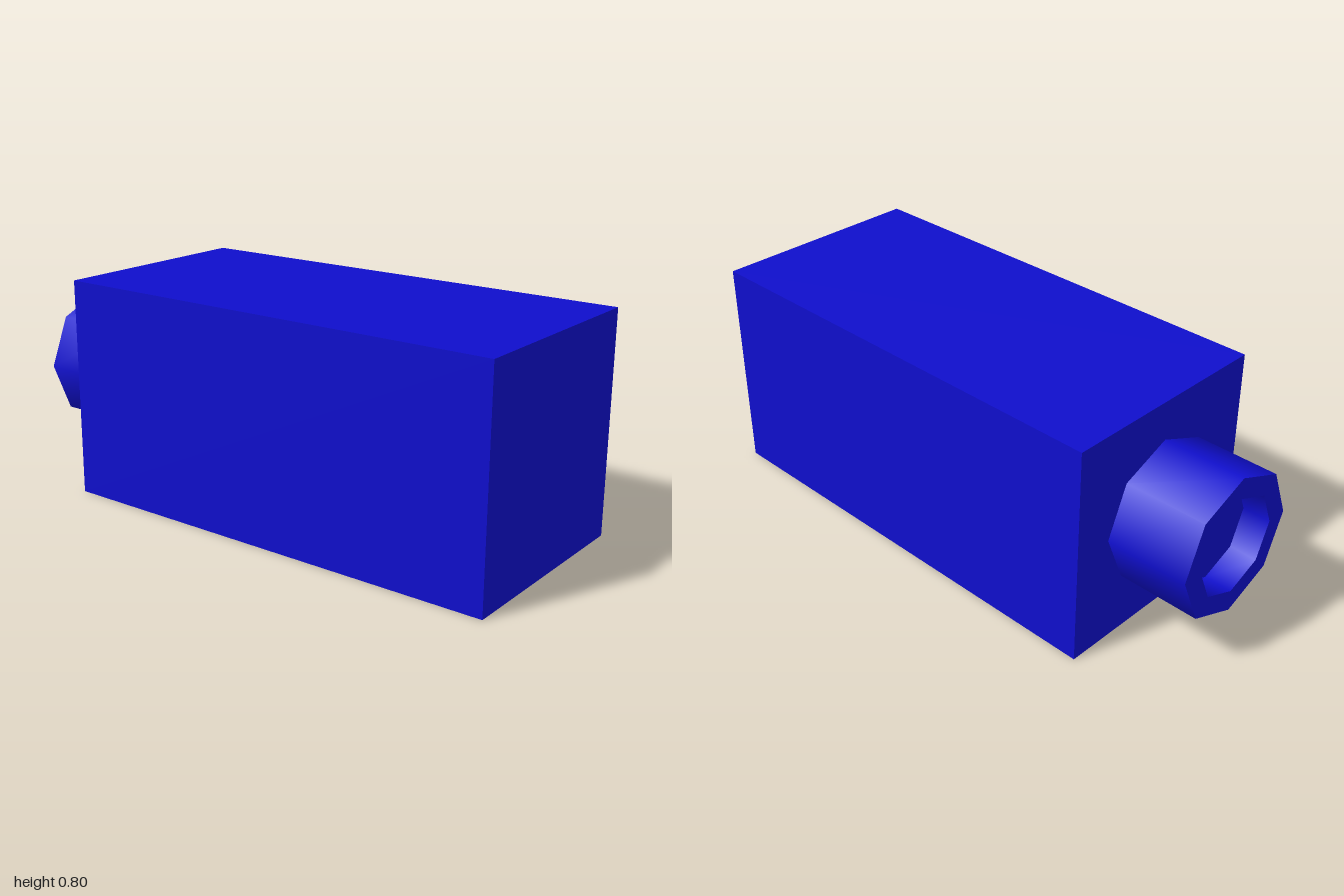
import * as THREE from 'three';
import { toCreasedNormals } from 'three/addons/utils/BufferGeometryUtils.js';

const SIDES = 8;
const blue = new THREE.MeshStandardMaterial({ color: 0x0f0ecc });
const red = new THREE.MeshStandardMaterial({ color: 0xcc1010 });

// Turned part whose axis points out of the lens end (-x); profile is [radius, height]
function turned(name, profile, material, x, y, z) {
  const points = profile.map(([r, h]) => new THREE.Vector2(r, h));
  const geometry = new THREE.LatheGeometry(points, SIDES).rotateZ(Math.PI / 2);
  const mesh = new THREE.Mesh(toCreasedNormals(geometry, Math.PI / 3), material);
  mesh.name = name;
  mesh.position.set(x, y, z);
  return mesh;
}

export function createModel() {
  const model = new THREE.Group();
  model.name = 'securityCamera';

  // Housing
  const body = new THREE.Mesh(new THREE.BoxGeometry(1.7, 0.8, 0.8), blue);
  body.name = 'body';
  body.position.set(0.15, 0.4, 0);
  model.add(body);

  // Lens barrel with a recessed front
  model.add(turned('lensBarrel',
    [[0.257, 0], [0.257, 0.3], [0.18, 0.3], [0.18, 0.2], [0, 0.2]],
    blue, -0.7, 0.4, 0));

  // Indicator lamp: mount ring and domed bulb
  const lamp = new THREE.Group();
  lamp.name = 'indicatorLamp';
  lamp.position.set(-0.7, 0.135, 0.275);
  lamp.add(turned('lampMount', [[0.07, 0], [0.07, 0.028], [0, 0.028]], blue, 0, 0, 0));
  const dome = [];
  for (let i = 0; i <= 4; i++) {
    const a = (i / 4) * Math.PI / 2;
    dome.push([0.058 * Math.cos(a), 0.03 * Math.sin(a)]);
  }
  lamp.add(turned('lampBulb', dome, red, -0.027, 0, 0));
  model.add(lamp);

  return model;
}
